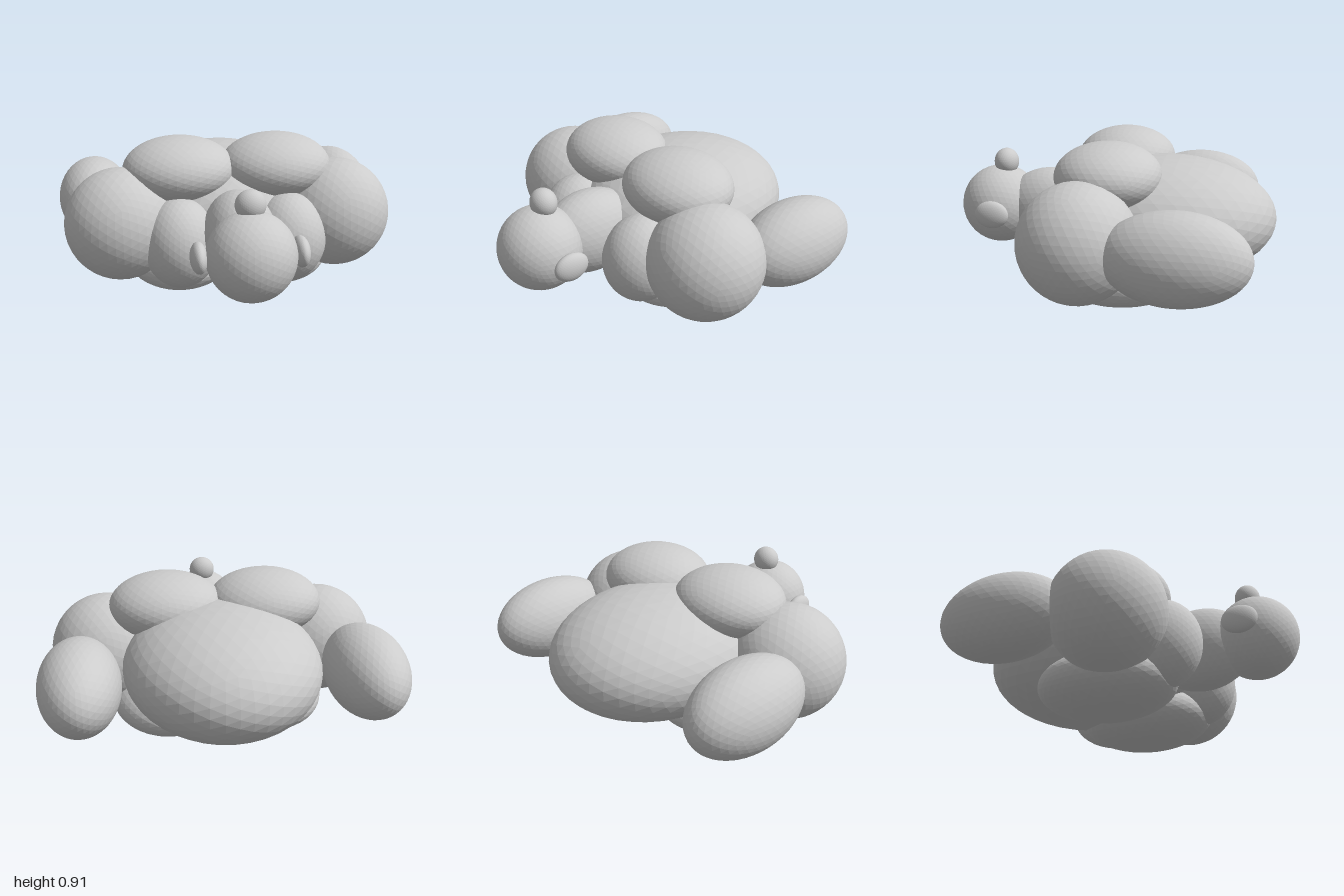
import * as THREE from 'three';

export function createModel() {
  const model = new THREE.Group();
  model.name = 'creature';
  const material = new THREE.MeshStandardMaterial({ color: 0xcccccc, flatShading: true });
  const ball = new THREE.IcosahedronGeometry(1, 7);

  // One ellipsoid from its centre and its three radii
  function ellipsoid(name, centre, radii) {
    const mesh = new THREE.Mesh(ball, material);
    mesh.name = name;
    mesh.position.set(...centre);
    mesh.scale.set(...radii);
    model.add(mesh);
  }

  // The same ellipsoid on the left (+x) and the right (-x)
  function pair(name, [x, y, z], radii) {
    ellipsoid('left' + name, [x, y, z], radii);
    ellipsoid('right' + name, [-x, y, z], radii);
  }

  // Trunk, neck and head
  ellipsoid('body', [0, 0.445, -0.3], [0.55, 0.345, 0.64]);
  ellipsoid('neck', [0, 0.445, 0.38], [0.2, 0.245, 0.3]);
  ellipsoid('head', [0, 0.457, 0.705], [0.235, 0.235, 0.235]);
  ellipsoid('topKnob', [0, 0.718, 0.665], [0.08, 0.08, 0.072]);
  pair('Ear', [0.265, 0.455, 0.675], [0.045, 0.08, 0.1]);

  // Lobes around the trunk
  pair('UpperLobe', [0.285, 0.722, -0.02], [0.325, 0.188, 0.297]);
  pair('LowerLobe', [0.29, 0.178, -0.08], [0.325, 0.178, 0.4]);
  pair('ChestLobe', [0.31, 0.365, 0.24], [0.215, 0.255, 0.235]);

  // Shoulders and backward-pointing limbs
  pair('Shoulder', [0.63, 0.44, 0.07], [0.322, 0.322, 0.322]);
  pair('Limb', [0.777, 0.44, -0.45], [0.222, 0.24, 0.38]);

  return model;
}
